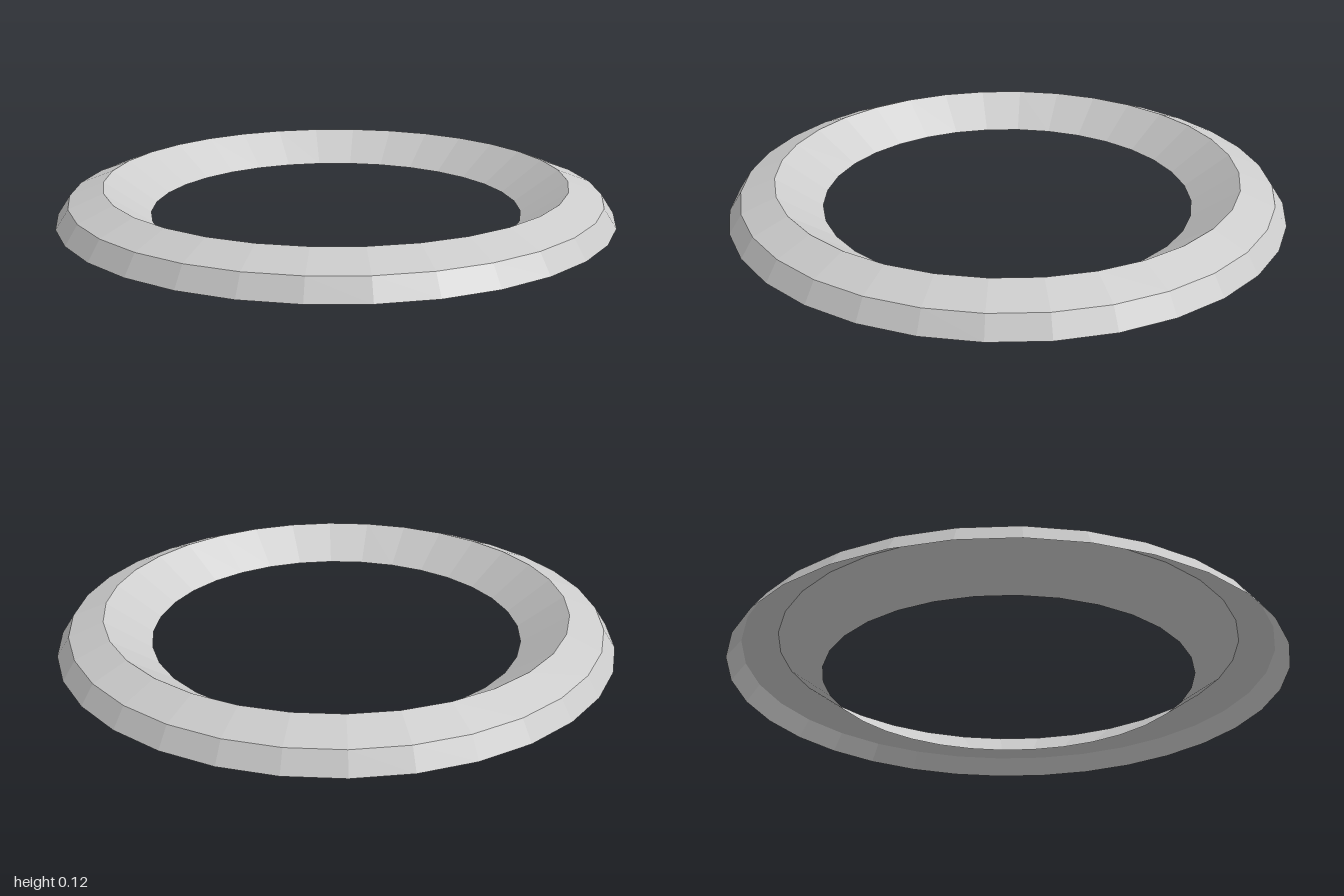
import * as THREE from 'three';

export function createModel() {
  const group = new THREE.Group();
  group.name = 'ring';

  // Open-bottomed shell: bevelled outer wall, sloping top, inner cone
  const profile = [
    [1, 0],
    [0.955, 0.068],
    [0.833, 0.115],
    [0.67, 0],
  ].map(([r, y]) => new THREE.Vector2(r, y));

  const material = new THREE.MeshStandardMaterial({
    color: 0xcccccc,
    flatShading: true,
    side: THREE.DoubleSide,
  });
  const rim = new THREE.Mesh(new THREE.LatheGeometry(profile, 32), material);
  rim.name = 'bevelledRim';
  group.add(rim);

  return group;
}
